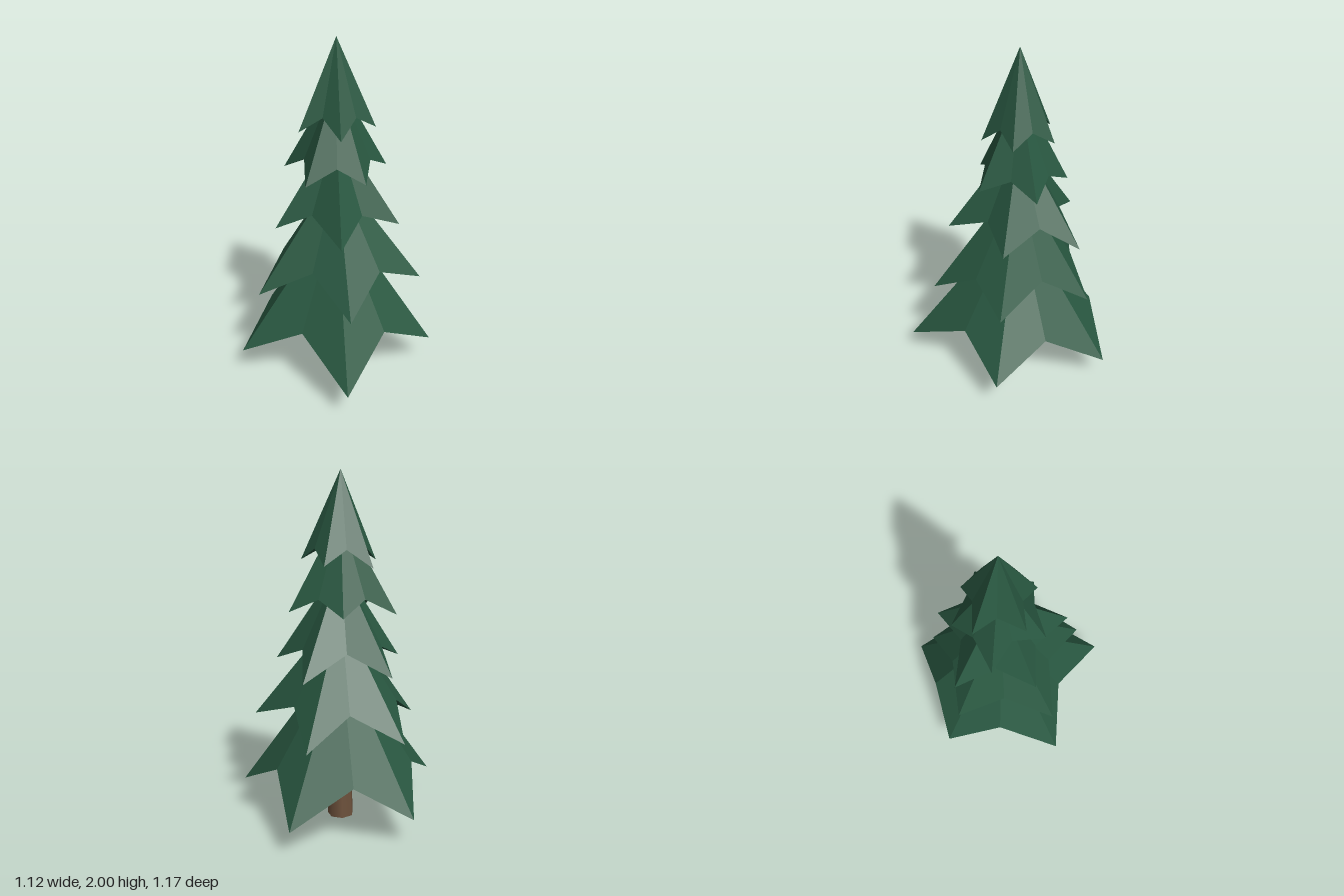
import * as THREE from 'three';

// Trunk axis
const AX = -0.011, AZ = -0.067;

// Each tier: apex height, height of the underside's centre, notch height,
// five branch tips [x, y, z], and the five notches [x, z] that follow them,
// counterclockwise from the left
const TIERS = [
  { apex: 1.0, under: 0.5, notchY: 0.355,
    tips: [[-0.56, 0.175, 0.2], [0.08, 0.155, 0.585], [0.56, 0.185, 0.035], [0.27, 0.145, -0.59], [-0.4, 0.155, -0.48]],
    notches: [[-0.195, 0.272], [0.28, 0.235], [0.35, -0.24], [-0.07, -0.512], [-0.42, -0.143]] },
  { apex: 1.24, under: 0.82, notchY: 0.715,
    tips: [[-0.45, 0.555, 0.18], [0.09, 0.535, 0.43], [0.485, 0.605, 0.015], [0.18, 0.535, -0.48], [-0.352, 0.555, -0.385]],
    notches: [[-0.135, 0.2], [0.245, 0.165], [0.25, -0.21], [-0.055, -0.373], [-0.33, -0.1]] },
  { apex: 1.5, under: 1.1, notchY: 1.037,
    tips: [[-0.352, 0.938, 0.08], [0.035, 0.935, 0.333], [0.353, 0.943, 0.005], [0.195, 0.903, -0.415], [-0.28, 0.923, -0.375]],
    notches: [[-0.14, 0.11], [0.14, 0.1], [0.2, -0.19], [-0.04, -0.3], [-0.24, -0.13]] },
  { apex: 1.78, under: 1.37, notchY: 1.322,
    tips: [[-0.318, 1.224, -0.16], [-0.17, 1.229, 0.16], [0.16, 1.243, 0.145], [0.273, 1.243, -0.17], [-0.02, 1.238, -0.338]],
    notches: [[-0.19, -0.03], [0, 0.12], [0.18, -0.03], [0.11, -0.23], [-0.14, -0.23]] },
  { apex: 2.0, under: 1.64, notchY: 1.585,
    tips: [[-0.212, 1.502, 0.04], [0.023, 1.485, 0.136], [0.207, 1.514, -0.04], [0.08, 1.503, -0.257], [-0.182, 1.488, -0.235]],
    notches: [[-0.08, 0.042], [0.1, 0.03], [0.13, -0.14], [-0.04, -0.21], [-0.15, -0.1]] },
];

// Star-shaped cone: the zigzag hem is fanned to the apex above
// and to a raised centre below, giving a hollowed underside
function tierGeometry({ apex, under, notchY, tips, notches }) {
  const hem = tips.flatMap((tip, i) => [tip, [notches[i][0], notchY, notches[i][1]]]);
  const positions = [];
  hem.forEach((p, i) => {
    const next = hem[(i + 1) % hem.length];
    positions.push(AX, apex, AZ, ...p, ...next);
    positions.push(AX, under, AZ, ...next, ...p);
  });
  const geometry = new THREE.BufferGeometry();
  geometry.setAttribute('position', new THREE.Float32BufferAttribute(positions, 3));
  geometry.computeVertexNormals();
  return geometry;
}

export function createModel() {
  const needles = new THREE.MeshStandardMaterial({ color: 0x295841, flatShading: true });
  needles.name = 'needleGreen';
  const bark = new THREE.MeshStandardMaterial({ color: 0x6e523c, side: THREE.DoubleSide });
  bark.name = 'barkBrown';

  const tree = new THREE.Group();
  tree.name = 'pineTree';

  // Tapered open trunk reaching up inside the foliage
  const trunk = new THREE.Mesh(new THREE.CylinderGeometry(0.052, 0.077, 0.7, 7, 1, true), bark);
  trunk.name = 'trunk';
  trunk.position.set(-0.013, 0.35, -0.064);
  trunk.rotation.y = -0.336;
  tree.add(trunk);

  // Five stacked foliage tiers
  TIERS.forEach((tier, i) => {
    const mesh = new THREE.Mesh(tierGeometry(tier), needles);
    mesh.name = `foliageTier${i + 1}`;
    tree.add(mesh);
  });
  return tree;
}
